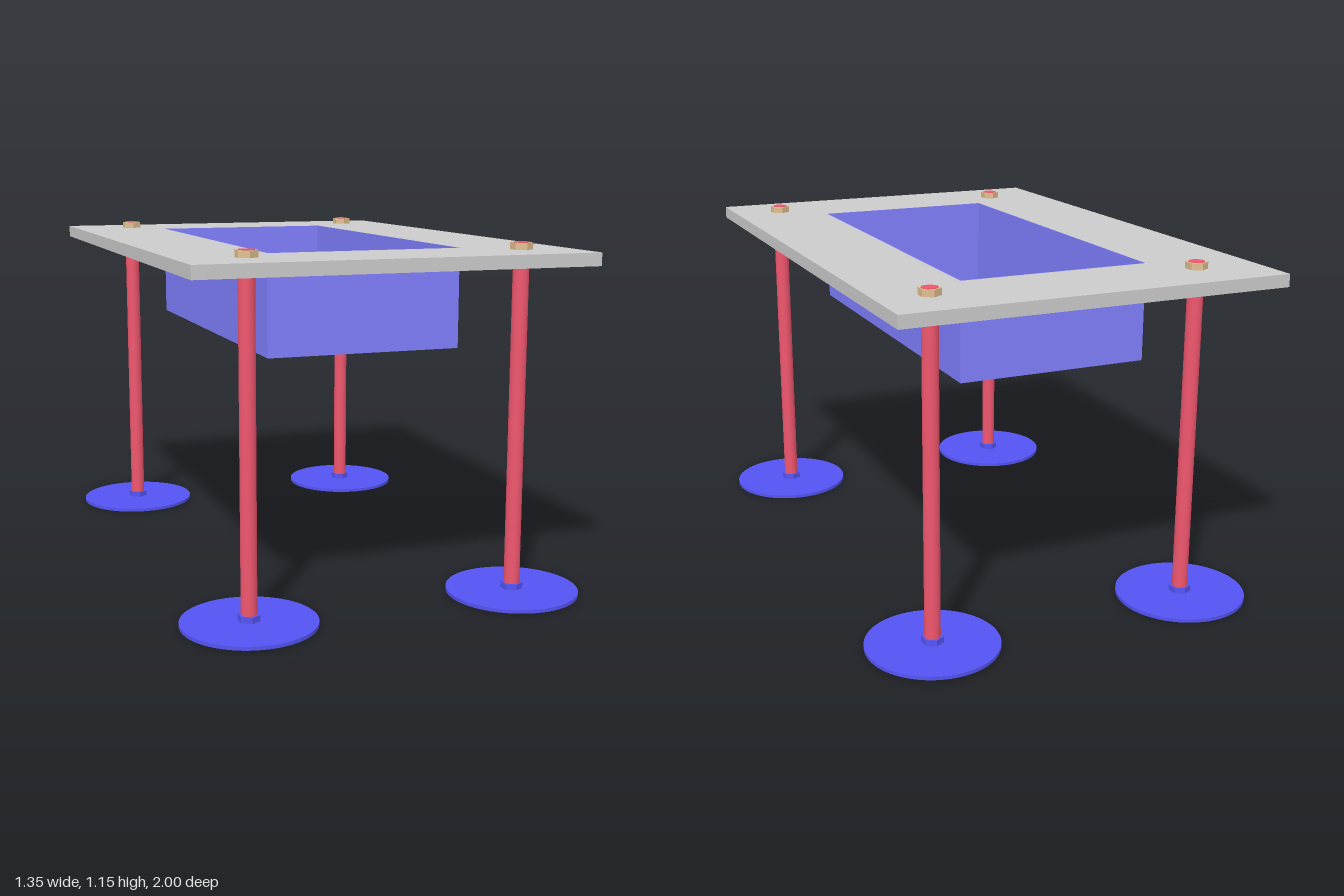
import * as THREE from 'three';

const mat = (color, flat = false) => new THREE.MeshStandardMaterial({ color, flatShading: flat });

// Shape points are (x, z); extrusions are laid flat, spanning y0..y1.
const flat = (shape, y0, y1) => {
  const g = new THREE.ExtrudeGeometry(shape, { depth: y1 - y0, bevelEnabled: false });
  return g.rotateX(Math.PI / 2).translate(0, y1, 0);
};
const outline = (pts, Type = THREE.Shape) => new Type(pts.map(([x, z]) => new THREE.Vector2(x, z)));
const rect = (x0, x1, z0, z1, Type) => outline([[x0, z0], [x1, z0], [x1, z1], [x0, z1]], Type);

export function createModel() {
  const model = new THREE.Group();
  const grey = mat(0xcccccc), blue = mat(0x8080ff), footBlue = mat(0x5454f4);
  const footNutBlue = mat(0x5454f4, true);
  const red = mat(0xf0566e), tan = mat(0xe0c090, true), yellow = mat(0xffff00);

  const add = (name, geometry, material, parent = model) => {
    const m = new THREE.Mesh(geometry, material);
    m.name = name;
    parent.add(m);
    return m;
  };
  const cyl = (r, y0, y1, sides) =>
    new THREE.CylinderGeometry(r, r, y1 - y0, sides).translate(0, (y0 + y1) / 2, 0);

  // Table top with a rectangular opening
  const [x0, x1, z0, z1] = [-0.35, 0.30, -0.65, 0.66];
  const top = rect(-0.675, 0.625, -0.97, 0.98);
  top.holes.push(rect(x0, x1, z0, z1, THREE.Path));
  add('tableTop', flat(top, 1.088, 1.13), grey);

  // Thin-walled basin hanging in the opening
  const t = 0.003;
  const basin = new THREE.Group();
  basin.name = 'basin';
  model.add(basin);
  const walls = rect(x0, x1, z0, z1);
  walls.holes.push(rect(x0 + t, x1 - t, z0 + t, z1 - t, THREE.Path));
  add('basinWalls', flat(walls, 0.805, 1.13), blue, basin);
  add('basinFloor', flat(rect(x0 + t, x1 - t, z0 + t, z1 - t), 0.805, 0.808), blue, basin);

  // Cross marking, visible on both faces of the floor
  const cross = outline([
    [-0.24, -0.51], [-0.027, -0.065], [0.19, -0.51], [0.19, -0.36], [0.017, 0.005],
    [0.19, 0.37], [0.19, 0.525], [-0.027, 0.076], [-0.24, 0.525], [-0.24, 0.37],
    [-0.07, 0.005], [-0.24, -0.36],
  ]);
  add('floorCross', flat(cross, 0.803, 0.81), yellow, basin);

  // Four threaded legs, each with a round foot and two hexagonal nuts
  for (const sx of [-1, 1]) for (const sz of [-1, 1]) {
    const leg = new THREE.Group();
    leg.name = (sz > 0 ? 'front' : 'back') + (sx > 0 ? 'Left' : 'Right') + 'Leg';
    leg.position.set(sx * 0.455, 0, sz * 0.783);
    model.add(leg);
    add('foot', cyl(0.217, 0, 0.012, 64), footBlue, leg);
    add('footNut', cyl(0.036, 0.012, 0.032, 6), footNutBlue, leg);
    add('rod', cyl(0.026, 0.006, 1.154, 32), red, leg);
    add('topNut', cyl(0.036, 1.13, 1.152, 6), tan, leg);
  }
  return model;
}
